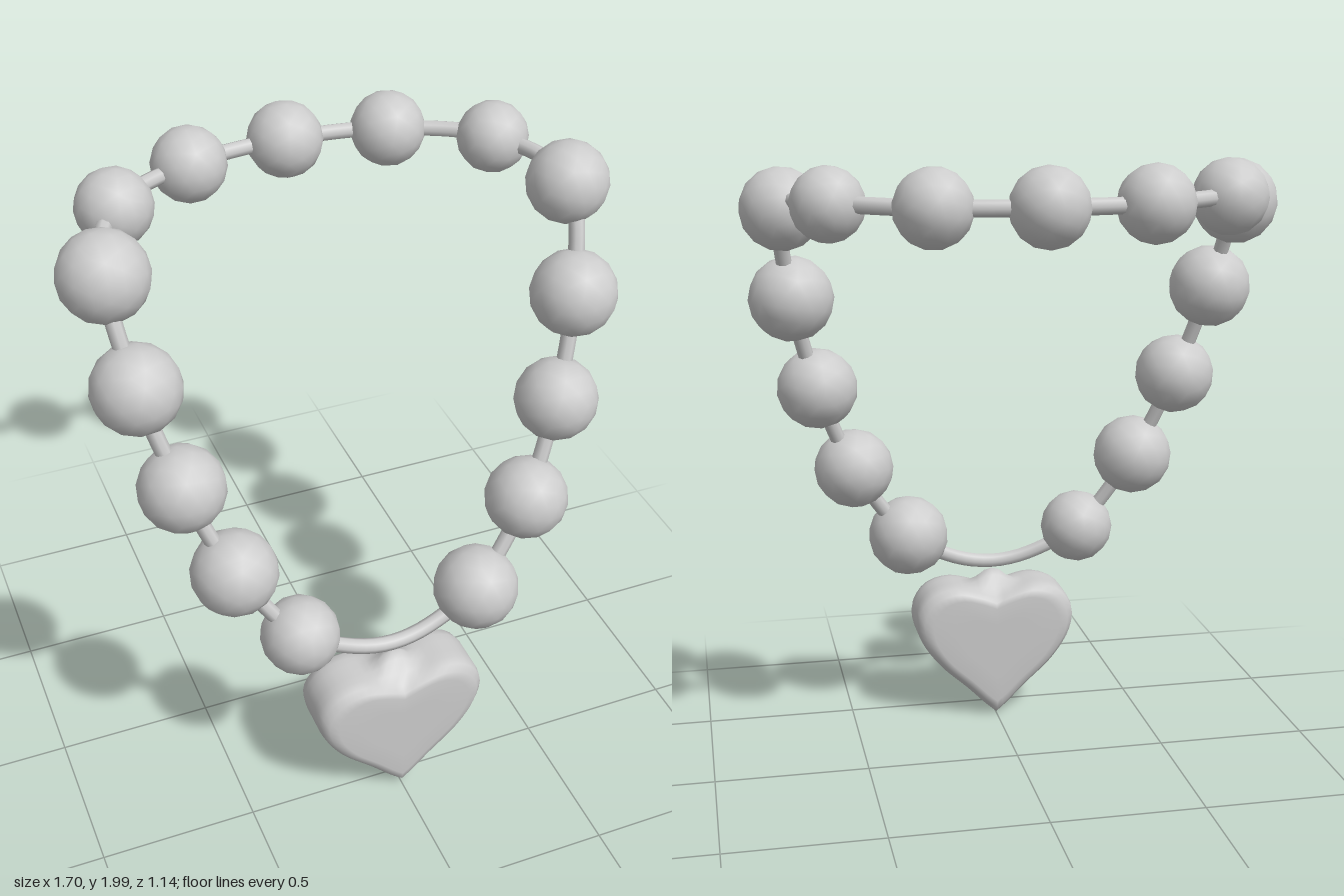
import * as THREE from 'three';

const V = (x, y, z) => new THREE.Vector3(x, y, z);

// Bead centres and radii, in order round the loop from the lower left to the lower right
const BEADS = [
  [-0.30, 0.672, 0.43, 0.125], [-0.483, 0.938, 0.37, 0.135], [-0.604, 1.234, 0.29, 0.133],
  [-0.69, 1.545, 0.197, 0.135], [-0.72, 1.838, 0.052, 0.136], [-0.605, 1.88, -0.238, 0.118],
  [-0.325, 1.88, -0.41, 0.118], [0, 1.88, -0.457, 0.12], [0.325, 1.88, -0.41, 0.118],
  [0.605, 1.88, -0.238, 0.112], [0.72, 1.842, 0.045, 0.128], [0.688, 1.545, 0.197, 0.136],
  [0.607, 1.234, 0.29, 0.132], [0.486, 0.938, 0.37, 0.133], [0.297, 0.673, 0.43, 0.137],
];

// Puffed heart: an outline swept through its depth, rounded at the rim, with a small peak in the notch
function heartGeometry() {
  const half = new THREE.CatmullRomCurve3([
    V(0, 0.44, 0), V(0.07, 0.468, 0), V(0.15, 0.485, 0), V(0.23, 0.46, 0), V(0.277, 0.39, 0),
    V(0.27, 0.31, 0), V(0.21, 0.21, 0), V(0.1, 0.105, 0), V(0.035, 0.04, 0), V(0, 0.01, 0),
  ]).getSpacedPoints(28);
  const mirrored = half.slice(1, -1).reverse().map((p) => V(-p.x, p.y, 0));
  const outline = [...half, ...mirrored];
  const n = outline.length;
  // depth, scale of the outline
  const layers = [
    [0.35, 0], [0.35, 0.45], [0.35, 0.8], [0.356, 0.91], [0.375, 0.98], [0.405, 1], [0.435, 1],
    [0.46, 1], [0.485, 1], [0.515, 1], [0.545, 0.98], [0.564, 0.91], [0.57, 0.8], [0.57, 0.45], [0.57, 0],
  ];
  const pos = [], index = [];
  for (const [z, s] of layers) {
    for (const p of outline) {
      const top = p.y > 0.4 ? 1 : 0;
      const peak = top * 0.085 * Math.exp(-((p.x / 0.055) ** 2) - ((z - 0.46) / 0.05) ** 2);
      pos.push(p.x * s, 0.27 + (p.y - 0.27) * s + peak * s, z);
    }
  }
  for (let j = 0; j < layers.length - 1; j++) {
    for (let i = 0; i < n; i++) {
      const a = j * n + i, b = j * n + (i + 1) % n, c = a + n, d = b + n;
      if (j > 0) index.push(a, b, c);
      if (j < layers.length - 2) index.push(b, d, c);
      if (j === 0) index.push(a, d, c);
    }
  }
  // outline runs clockwise, so turn the faces outward
  for (let i = 0; i < index.length; i += 3) [index[i + 1], index[i + 2]] = [index[i + 2], index[i + 1]];
  const g = new THREE.BufferGeometry();
  g.setAttribute('position', new THREE.Float32BufferAttribute(pos, 3));
  g.setIndex(index);
  g.computeVertexNormals();
  // the collapsed centre of each cap faces straight back or forward
  const normal = g.getAttribute('normal');
  for (let i = 0; i < n; i++) {
    normal.setXYZ(i, 0, 0, -1);
    normal.setXYZ((layers.length - 1) * n + i, 0, 0, 1);
  }
  return g;
}

export function createModel() {
  const model = new THREE.Group();
  model.name = 'heartNecklace';
  const grey = new THREE.MeshStandardMaterial({ color: 0xcccccc });
  grey.name = 'paleGrey';

  const add = (name, geometry, parent = model) => {
    const mesh = new THREE.Mesh(geometry, grey);
    mesh.name = name;
    parent.add(mesh);
    return mesh;
  };

  // Beads
  const beads = new THREE.Group();
  beads.name = 'beads';
  model.add(beads);
  BEADS.forEach(([x, y, z, r], i) => {
    const bead = add(`bead${i + 1}`, new THREE.IcosahedronGeometry(r, 2), beads);
    bead.position.set(x, y, z);
    bead.rotation.set(i * 0.7, i * 1.3, i * 0.4);
  });

  // String through all the beads, sagging at the bottom
  const path = BEADS.map(([x, y, z]) => V(x, y, z));
  path.push(V(0.16, 0.59, 0.445), V(0.05, 0.558, 0.453), V(-0.05, 0.558, 0.453), V(-0.16, 0.59, 0.445));
  add('string', new THREE.TubeGeometry(new THREE.CatmullRomCurve3(path, true), 160, 0.025, 8, true));

  // Pendant
  add('heartPendant', heartGeometry());
  return model;
}
